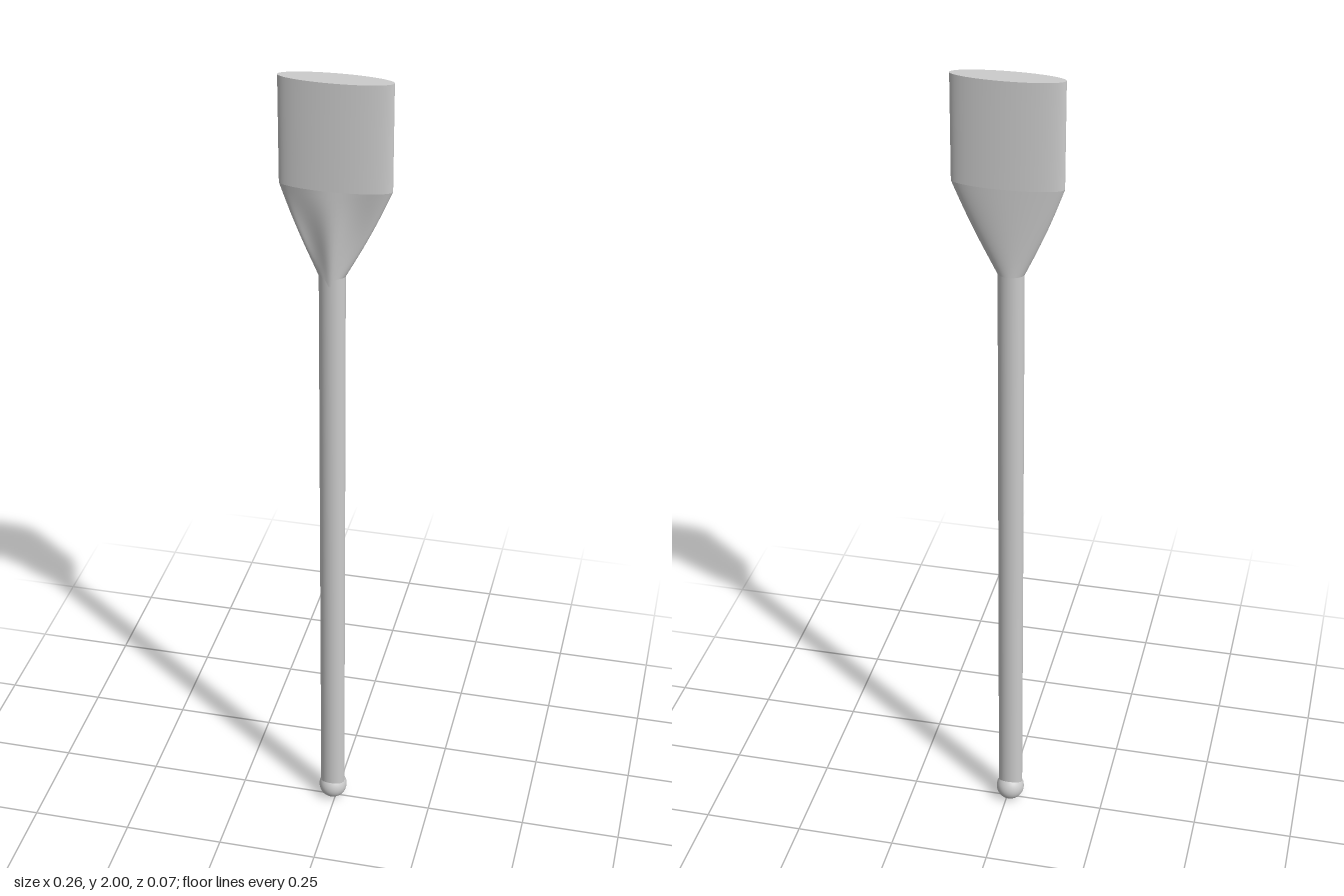
import * as THREE from 'three';

const material = new THREE.MeshStandardMaterial({ color: 0xcccccc, side: THREE.DoubleSide });

// Joins closed rings of equal length into a smooth skin
function loft(rings) {
  const n = rings[0].length;
  const index = [];
  for (let r = 0; r < rings.length - 1; r++) {
    for (let i = 0; i < n; i++) {
      const a = r * n + i, b = r * n + (i + 1) % n;
      index.push(a, a + n, b, b, a + n, b + n);
    }
  }
  const geometry = new THREE.BufferGeometry().setFromPoints(rings.flat());
  geometry.setIndex(index);
  geometry.computeVertexNormals();
  return geometry;
}

function ellipseRing(y, cx, cz, rx, rz, shape = (p) => p) {
  return Array.from({ length: 64 }, (_, i) => {
    const a = (i / 64) * Math.PI * 2;
    return shape(new THREE.Vector3(cx + rx * Math.cos(a), y, cz + rz * Math.sin(a)), a);
  });
}

export function createModel() {
  const group = new THREE.Group();
  const add = (name, geometry, x = 0, y = 0, z = 0) => {
    const mesh = new THREE.Mesh(geometry, material);
    mesh.name = name;
    mesh.position.set(x, y, z);
    group.add(mesh);
    return mesh;
  };

  // Round knob at the foot of the shaft
  add('knob', new THREE.SphereGeometry(0.036, 32, 20), -0.008, 0.036, -0.001);

  // Long, slightly oval shaft
  const shaft = add('shaft', new THREE.CylinderGeometry(1, 1, 1.52, 40), -0.008, 0.81, 0.002);
  shaft.scale.set(0.031, 1, 0.025);

  // Straight oval blade
  add('blade', loft([1.75, 1.83, 1.92, 2].map((y) => ellipseRing(y, 0, 0.002, 0.129, 0.031))));

  // Flat cap closing the blade
  const cap = add('bladeCap', new THREE.CircleGeometry(1, 64), 0, 2, 0.002);
  cap.rotation.x = -Math.PI / 2;
  cap.scale.set(0.129, 0.031, 1);

  // Tapered shoulder, fluted in front beside a central ridge that runs down the shaft
  const shoulder = [];
  for (let k = 0; k <= 14; k++) {
    const t = k / 14;
    const bulge = Math.sin(Math.PI * t);
    shoulder.push(ellipseRing(
      1.535 + 0.215 * t,
      -0.008 * (1 - t), 0.002,
      THREE.MathUtils.lerp(0.032, 0.129, t) + 0.004 * bulge,
      THREE.MathUtils.lerp(0.026, 0.031, t),
      (p, a) => {
        const front = Math.max(0, Math.sin(a));
        const flute = front * Math.pow(Math.sin(2 * a), 2);
        const ridge = Math.pow(front, 24);
        p.z += bulge * (0.004 * ridge - 0.012 * flute);
        p.y -= 0.02 * ridge * (1 - t);
        return p;
      }));
  }
  add('shoulder', loft(shoulder));

  return group;
}
